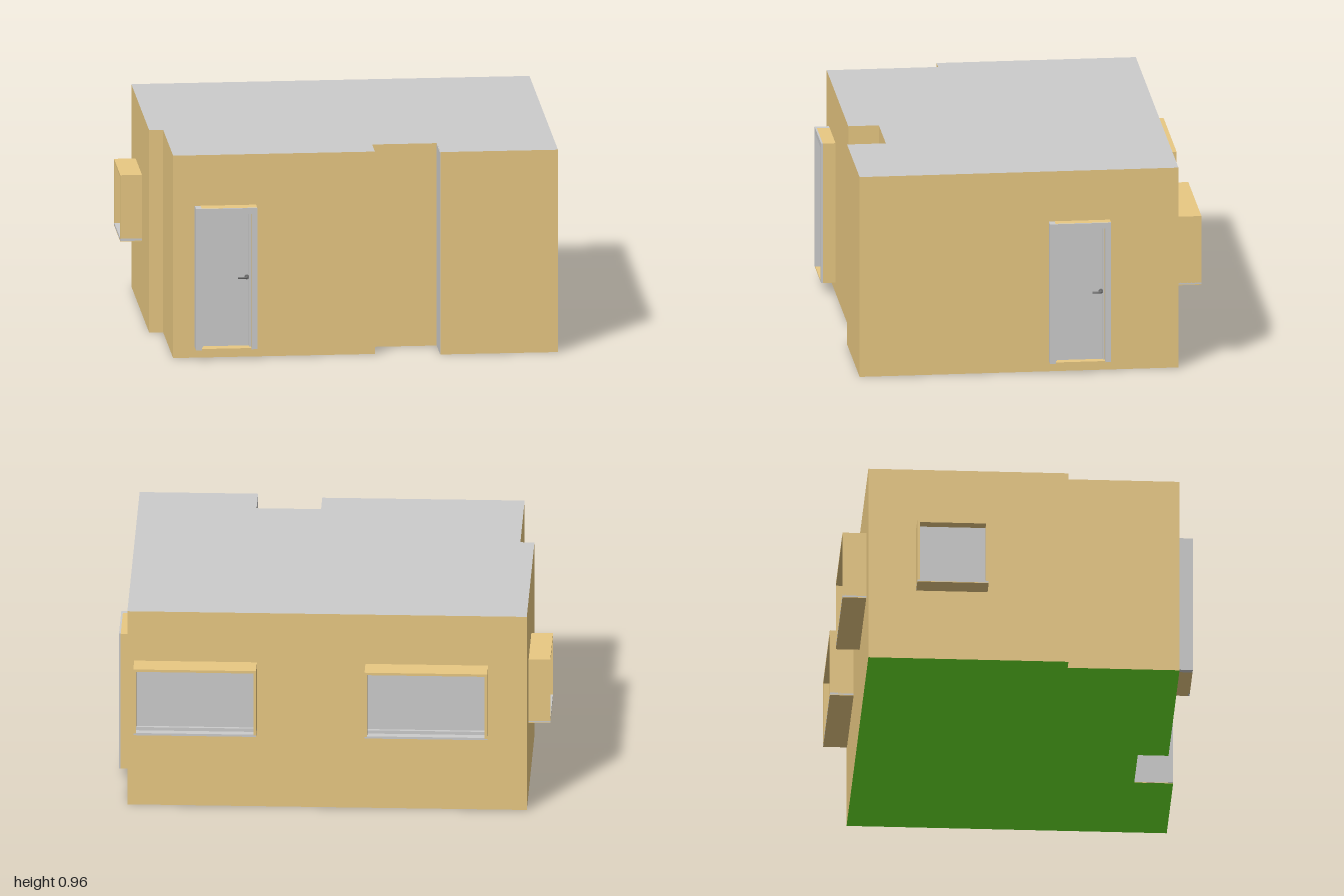
import * as THREE from 'three';

const mat = (color) => new THREE.MeshStandardMaterial({ color });
const tan = mat(0xe8c882);
const grey = mat(0xcccccc);
const green = mat(0x69e628);
const dark = mat(0x777777);

// Box given by its min and max corners
function box(parent, name, material, [x0, y0, z0], [x1, y1, z1]) {
  const mesh = new THREE.Mesh(new THREE.BoxGeometry(x1 - x0, y1 - y0, z1 - z0), material);
  mesh.position.set((x0 + x1) / 2, (y0 + y1) / 2, (z0 + z1) / 2);
  mesh.name = name;
  parent.add(mesh);
  return mesh;
}

// Building outline as [x, z]
const outline = [
  [-0.9, -0.7], [0.945, -0.7], [0.945, 0.78], [0.4, 0.78], [0.4, 0.6],
  [0.1, 0.6], [0.1, 0.742], [-0.835, 0.742], [-0.835, 0.225], [-0.9, 0.225],
];

function slab(name, y0, y1, materials) {
  const shape = new THREE.Shape(outline.map(([x, z]) => new THREE.Vector2(x, -z)));
  const geo = new THREE.ExtrudeGeometry(shape, { depth: y1 - y0, bevelEnabled: false });
  geo.rotateX(-Math.PI / 2);
  const mesh = new THREE.Mesh(geo, materials);
  mesh.position.y = y0;
  mesh.name = name;
  return mesh;
}

// Door facing +z, wall plane at z = 0
function door(name, depth) {
  const g = new THREE.Group();
  g.name = name;
  const w = 0.142, h = 0.67, t = 0.027, d = depth, f = d - 0.008;
  // casing around the opening, with grey facing strips
  box(g, 'casingLeft', grey, [-w, 0, 0], [-w + t, h, f]);
  box(g, 'casingRight', tan, [w - t, 0, 0], [w, h, f]);
  box(g, 'casingTop', tan, [-w + t, h - t, 0], [w - t, h, f]);
  box(g, 'threshold', tan, [-w + t, 0, 0], [w - t, 0.006, d]);
  for (const s of [-1, 1]) {
    box(g, 'facing', grey, [s * (w - t / 2) - t / 2, 0, f], [s * (w - t / 2) + t / 2, h, d]);
  }
  box(g, 'facingTop', grey, [-w + t, h - t, f], [w - t, h, d]);
  // inner stop and recessed leaf
  for (const s of [-1, 1]) {
    box(g, 'doorStop', grey, [s * 0.111 - 0.004, 0.006, 0], [s * 0.111 + 0.004, h - t, d * 0.5]);
  }
  box(g, 'leaf', grey, [-w + t, 0.006, 0], [w - t, h - t, 0.012]);
  // lever handle
  const rose = new THREE.Mesh(new THREE.CylinderGeometry(0.011, 0.011, 0.008, 16), dark);
  rose.rotation.x = Math.PI / 2;
  rose.position.set(0.098, 0.332, 0.016);
  rose.name = 'handleRose';
  const path = new THREE.CatmullRomCurve3([
    new THREE.Vector3(0.098, 0.332, 0.016), new THREE.Vector3(0.097, 0.332, 0.034),
    new THREE.Vector3(0.085, 0.333, 0.039), new THREE.Vector3(0.056, 0.333, 0.038),
  ]);
  const lever = new THREE.Mesh(new THREE.TubeGeometry(path, 16, 0.005, 8), dark);
  lever.name = 'handleLever';
  g.add(rose, lever);
  return g;
}

// Projecting window box facing +z, wall plane at z = 0, base at y = 0
function windowBox(name, width, h, d) {
  const g = new THREE.Group();
  g.name = name;
  const w = width / 2, t = 0.012;
  for (const s of [-1, 1]) {
    box(g, 'side', tan, [s * (w - t / 2) - t / 2, 0.01, 0], [s * (w - t / 2) + t / 2, h, d]);
  }
  box(g, 'head', tan, [-w + t, h - t, 0], [w - t, h, d]);
  box(g, 'base', tan, [-w, 0, 0], [w, 0.003, d]);
  box(g, 'sill', grey, [-w, 0.003, 0], [w, 0.014, d]);
  box(g, 'pane', grey, [-w + t, 0.014, 0], [w - t, h - t, d - 0.05]);
  box(g, 'lowerRail', grey, [-w + t, 0.014, d - 0.05], [w - t, 0.03, d - 0.035]);
  return g;
}

export function createModel() {
  const model = new THREE.Group();

  // Body: green floor, tan walls, grey roof
  model.add(slab('floor', 0, 0.003, [green, tan]));
  model.add(slab('wallsAndRoof', 0.003, 0.96, [grey, tan]));

  // Grey side of the front recess
  box(model, 'recessSide', grey, [0.398, 0.003, 0.6], [0.4, 0.959, 0.779]);

  // Doors
  const front = door('frontDoor', 0.067);
  front.position.set(-0.593, 0.05, 0.742);
  const side = door('sideDoor', 0.051);
  side.position.set(0.945, 0.05, -0.24);
  side.rotation.y = Math.PI / 2;
  model.add(front, side);

  // Windows: two at the back, one on the right
  for (const x of [-0.438, 0.63]) {
    const win = windowBox('backWindow', 0.567, 0.33, 0.11);
    win.position.set(x, 0.385, -0.7);
    win.rotation.y = Math.PI;
    model.add(win);
  }
  const rightWindow = windowBox('rightWindow', 0.33, 0.315, 0.1);
  rightWindow.position.set(-0.9, 0.345, -0.314);
  rightWindow.rotation.y = -Math.PI / 2;
  model.add(rightWindow);

  return model;
}
